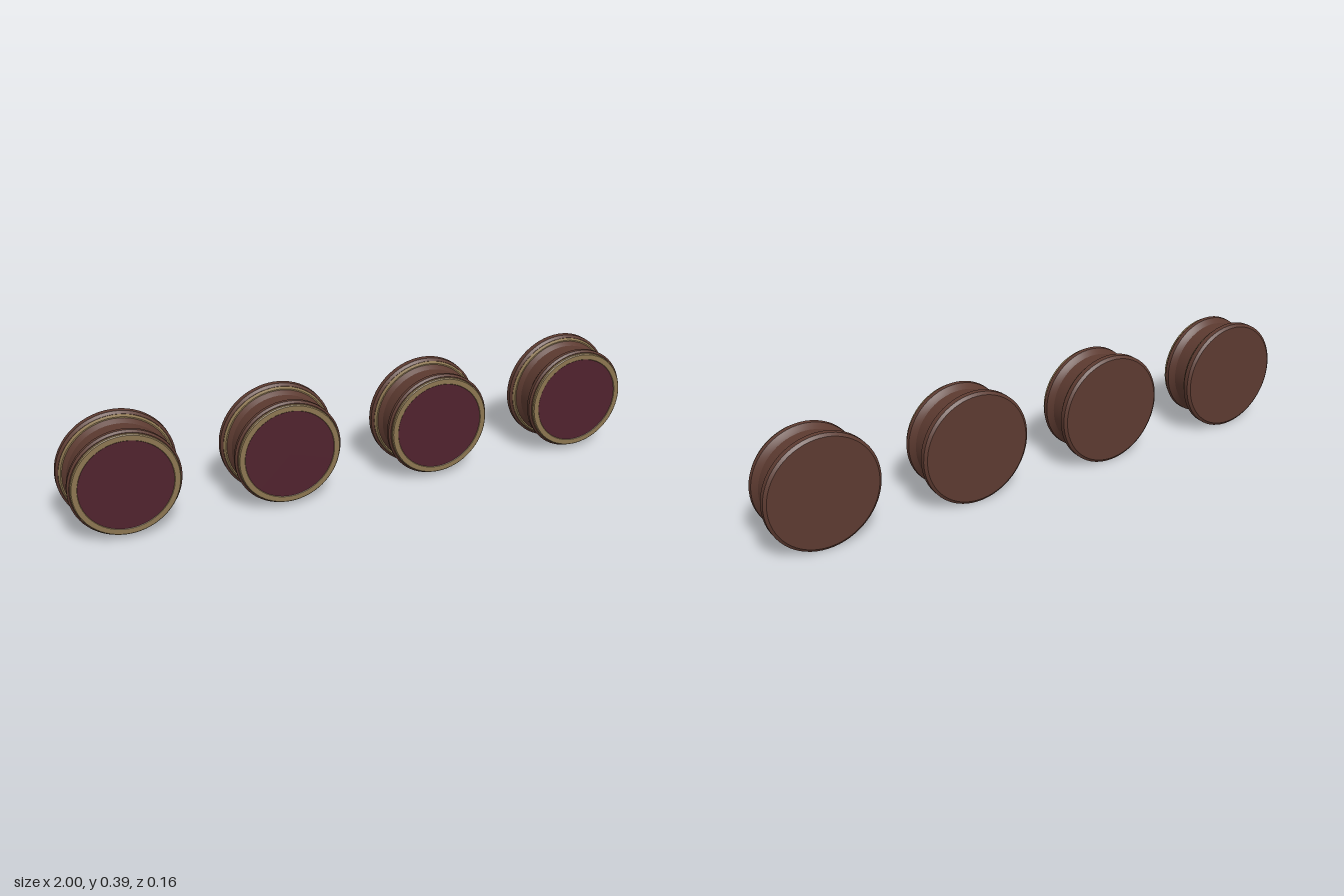
import * as THREE from 'three';
import { toCreasedNormals } from 'three/addons/utils/BufferGeometryUtils.js';

const SEGMENTS = 64;
const CENTER_Y = 0.1945;

function material(name, color) {
  const m = new THREE.MeshStandardMaterial({ color });
  m.name = name;
  return m;
}

// Profile of [radius, z] pairs from back to front, turned about the z axis
function turned(name, profile, mat) {
  const points = profile.map(([r, z]) => new THREE.Vector2(r, z));
  const geometry = new THREE.LatheGeometry(points, SEGMENTS).rotateX(Math.PI / 2);
  const mesh = new THREE.Mesh(toCreasedNormals(geometry, 0.35), mat);
  mesh.name = name;
  return mesh;
}

export function createModel() {
  const wood = material('dark brown', 0x5c3a30);
  const brass = material('antique brass', 0x8b7550);
  const inlay = material('maroon', 0x4f222d);

  const model = new THREE.Group();
  model.name = 'plugSet';

  for (const [i, x] of [-0.8055, -0.2685, 0.2685, 0.8055].entries()) {
    const plug = new THREE.Group();
    plug.name = `plug${i + 1}`;
    plug.position.set(x, CENTER_Y, 0);

    // Wide bevelled flange at the back
    plug.add(turned('backFlange', [
      [0, -0.08], [0.185, -0.08], [0.1945, -0.073], [0.1945, -0.055],
      [0.187, -0.047], [0.16, -0.047],
    ], wood));

    // Brass band in front of the flange
    plug.add(turned('flangeBand', [
      [0.16, -0.047], [0.186, -0.047], [0.181, -0.038], [0.16, -0.038],
    ], brass));

    // Waisted drum with a raised front lip
    plug.add(turned('drum', [
      [0.16, -0.038], [0.177, -0.038], [0.166, -0.022], [0.166, 0.028],
      [0.171, 0.036], [0.181, 0.048], [0.182, 0.062], [0.176, 0.069], [0.15, 0.069],
    ], wood));

    // Brass rim framing the face
    plug.add(turned('frontRim', [
      [0.15, 0.068], [0.172, 0.068], [0.174, 0.07], [0.174, 0.077],
      [0.171, 0.08], [0.154, 0.08], [0.152, 0.078], [0.152, 0.07],
    ], brass));

    // Maroon face disc
    const face = new THREE.Mesh(new THREE.CircleGeometry(0.1525, SEGMENTS), inlay);
    face.name = 'faceInlay';
    face.position.z = 0.0785;
    plug.add(face);

    // Small brass plate under the drum
    const plate = new THREE.Mesh(new THREE.BoxGeometry(0.07, 0.009, 0.034), brass);
    plate.name = 'bottomPlate';
    plate.position.set(0, -0.164, 0.008);
    plug.add(plate);

    model.add(plug);
  }
  return model;
}
